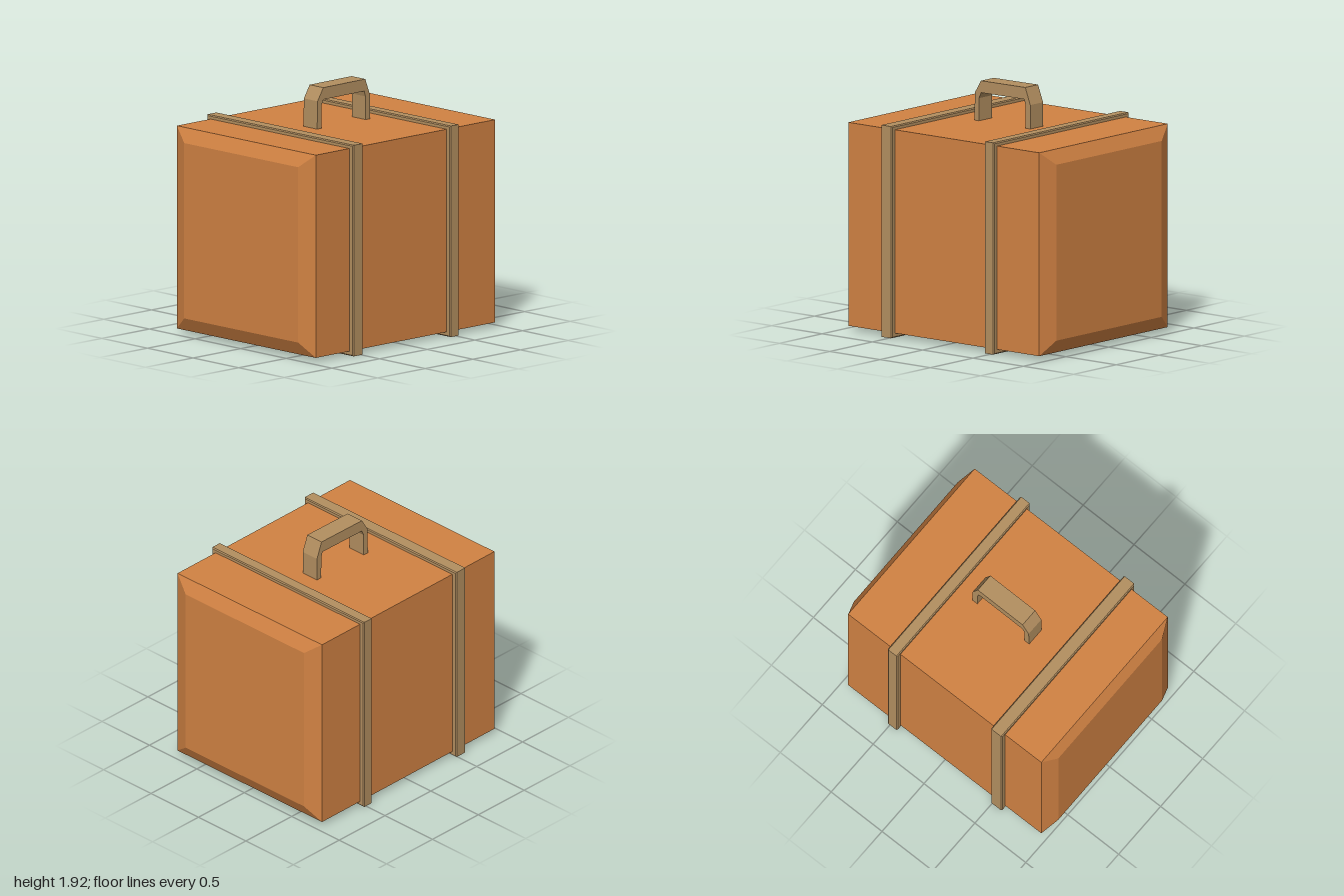
import * as THREE from 'three';

const leather = new THREE.MeshStandardMaterial({ color: 0xd18243 });
leather.name = 'orangeLeather';
const tan = new THREE.MeshStandardMaterial({ color: 0xb38f60 });
tan.name = 'tanStrap';

function addPart(parent, name, geometry, material) {
  const flat = geometry.index ? geometry.toNonIndexed() : geometry;
  flat.computeVertexNormals();
  const mesh = new THREE.Mesh(flat, material);
  mesh.name = name;
  parent.add(mesh);
  return mesh;
}

// Box whose two ends taper inwards
function caseGeometry() {
  const geo = new THREE.BoxGeometry(2, 1.57, 1.515, 3, 1, 1);
  const pos = geo.attributes.position;
  for (let i = 0; i < pos.count; i++) {
    const x = pos.getX(i);
    if (Math.abs(x) > 0.9) {
      pos.setY(i, pos.getY(i) * 0.865);
      pos.setZ(i, pos.getZ(i) * 0.82);
    } else {
      pos.setX(i, Math.sign(x) * 0.945);
    }
  }
  return geo;
}

// Rectangular band with narrow chamfered edges, wrapped around the case
function strapGeometry(width) {
  const bevel = 0.008;
  const rect = (path, w, h) => path.moveTo(-w, -h).lineTo(w, -h).lineTo(w, h).lineTo(-w, h).closePath();
  const shape = rect(new THREE.Shape(), 0.797 - bevel, 0.8175 - bevel);
  shape.holes.push(rect(new THREE.Path(), 0.74, 0.768));
  const geo = new THREE.ExtrudeGeometry(shape, {
    depth: width - 2 * bevel, bevelEnabled: true, bevelSize: bevel, bevelThickness: bevel, bevelSegments: 1,
  });
  geo.translate(0, 0, -width / 2 + bevel);
  return geo.rotateY(Math.PI / 2);
}

// Angular arch extruded through its depth
function handleGeometry() {
  const outline = [
    [-0.27, 1.59], [-0.225, 1.59], [-0.225, 1.78], [-0.203, 1.825], [0.225, 1.828], [0.237, 1.785],
    [0.24, 1.59], [0.285, 1.59], [0.285, 1.79], [0.235, 1.92], [-0.205, 1.917], [-0.265, 1.82],
  ].map(([x, y]) => new THREE.Vector2(x, y));
  const geo = new THREE.ExtrudeGeometry(new THREE.Shape(outline), { depth: 0.15, bevelEnabled: false });
  return geo.translate(0, 0, -0.075);
}

export function createModel() {
  const group = new THREE.Group();
  group.name = 'suitcase';

  // Case and straps sit very slightly turned
  const trunk = new THREE.Group();
  trunk.name = 'strappedCase';
  trunk.rotation.y = 0.005;
  group.add(trunk);

  addPart(trunk, 'case', caseGeometry(), leather).position.y = 0.82;
  for (const [name, x, width] of [['rightStrap', -0.537, 0.108], ['leftStrap', 0.481, 0.095]]) {
    addPart(trunk, name, strapGeometry(width), tan).position.set(x, 0.8175, 0);
  }

  addPart(group, 'handle', handleGeometry(), tan);
  return group;
}
